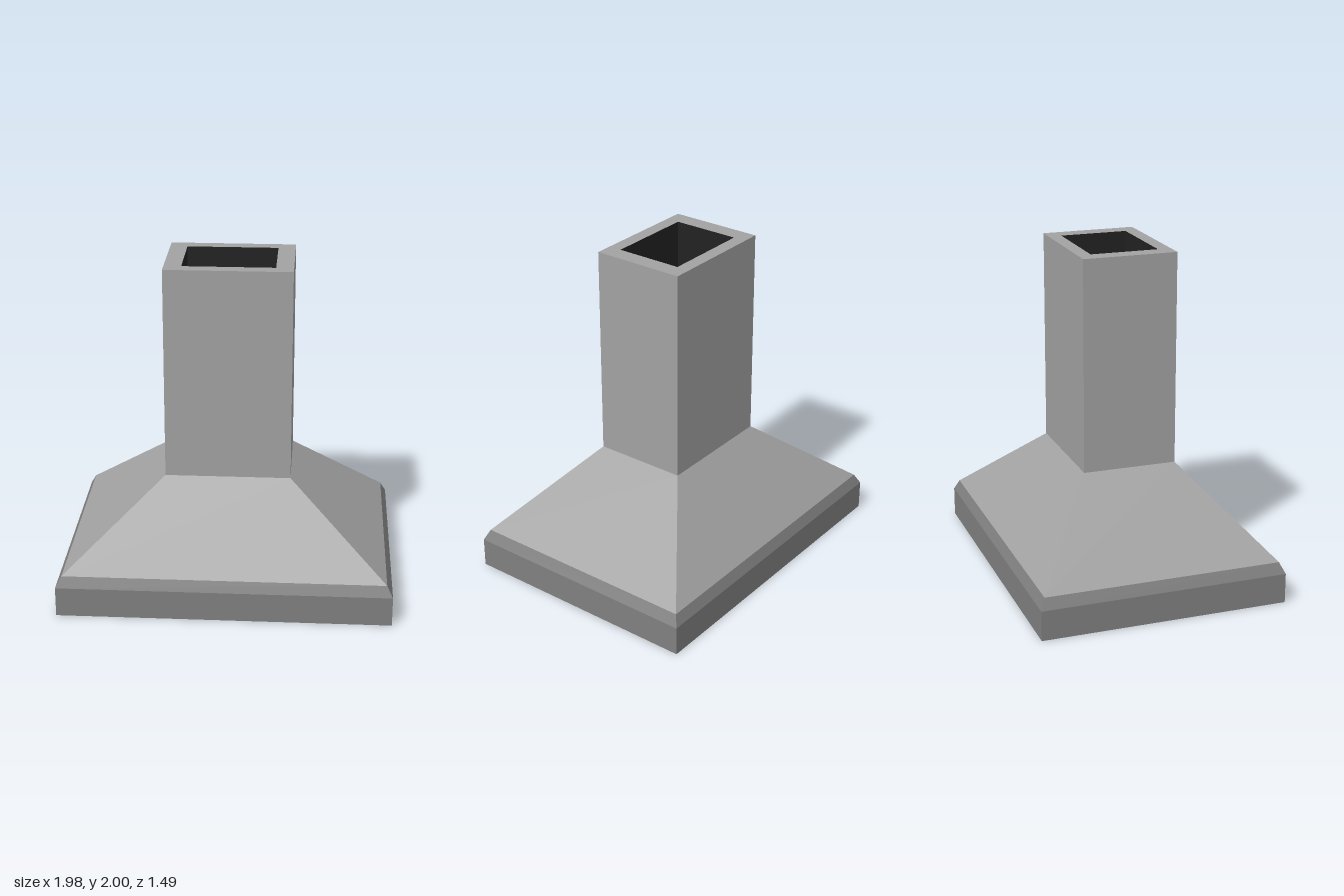
import * as THREE from 'three';

const steel = new THREE.MeshStandardMaterial({ color: 0xa2a2a2 });
steel.name = 'brushed steel';
const darkSteel = new THREE.MeshStandardMaterial({ color: 0x808080 });
darkSteel.name = 'dark steel';
const black = new THREE.MeshStandardMaterial({ color: 0x222222 });
black.name = 'flue black';
const filterBlack = new THREE.MeshStandardMaterial({ color: 0x1a1a1a });
filterBlack.name = 'filter black';

// Skin between stacked rectangles, each given as [half width, y, half depth]
function rectLoft(rings) {
  const signs = [[1, 1], [1, -1], [-1, -1], [-1, 1]];
  const corner = ([w, y, d], i) => [w * signs[i % 4][0], y, d * signs[i % 4][1]];
  const pos = [];
  for (let r = 0; r < rings.length - 1; r++) {
    for (let i = 0; i < 4; i++) {
      const a = corner(rings[r], i), b = corner(rings[r], i + 1);
      const c = corner(rings[r + 1], i + 1), d = corner(rings[r + 1], i);
      pos.push(...a, ...b, ...c, ...a, ...c, ...d);
    }
  }
  const geo = new THREE.BufferGeometry();
  geo.setAttribute('position', new THREE.Float32BufferAttribute(pos, 3));
  geo.computeVertexNormals();
  return geo;
}

function rectPath(path, x0, x1, z) {
  path.moveTo(x0, -z);
  path.lineTo(x1, -z);
  path.lineTo(x1, z);
  path.lineTo(x0, z);
  path.closePath();
  return path;
}

export function createModel() {
  const group = new THREE.Group();
  group.name = 'rangeHood';
  const add = (name, geo, mat) => {
    const mesh = new THREE.Mesh(geo, mat);
    mesh.name = name;
    group.add(mesh);
    return mesh;
  };

  // Lower rim: recess wall, bottom lip, outer wall and bevel
  add('rim', rectLoft([
    [0.92, 0.06, 0.68], [0.92, 0, 0.68], [0.99, 0, 0.745],
    [0.99, 0.18, 0.745], [0.955, 0.245, 0.715],
  ]), darkSteel);

  // Sloping canopy
  add('canopy', rectLoft([[0.955, 0.245, 0.715], [0.375, 0.72, 0.285]]), steel);

  // Chimney with its open top
  add('chimney', rectLoft([
    [0.375, 0.72, 0.285], [0.375, 2, 0.285], [0.272, 2, 0.205],
  ]), steel);
  add('flueLining', rectLoft([
    [0.272, 2, 0.205], [0.272, 1.7, 0.205], [0, 1.7, 0],
  ]), black);

  // Underside frame with two filter openings
  const frame = rectPath(new THREE.Shape(), -0.92, 0.92, 0.68);
  for (const s of [-1, 1]) {
    frame.holes.push(rectPath(new THREE.Path(), s * 0.46 - 0.4, s * 0.46 + 0.4, 0.63));
  }
  const frameGeo = new THREE.ExtrudeGeometry(frame, { depth: 0.03, bevelEnabled: false });
  frameGeo.rotateX(-Math.PI / 2);
  add('filterFrame', frameGeo, darkSteel).position.y = 0.03;

  // Grease filters
  for (const s of [-1, 1]) {
    add(s > 0 ? 'leftFilter' : 'rightFilter', new THREE.BoxGeometry(0.82, 0.01, 1.28), filterBlack)
      .position.set(s * 0.46, 0.065, 0);
  }

  return group;
}
